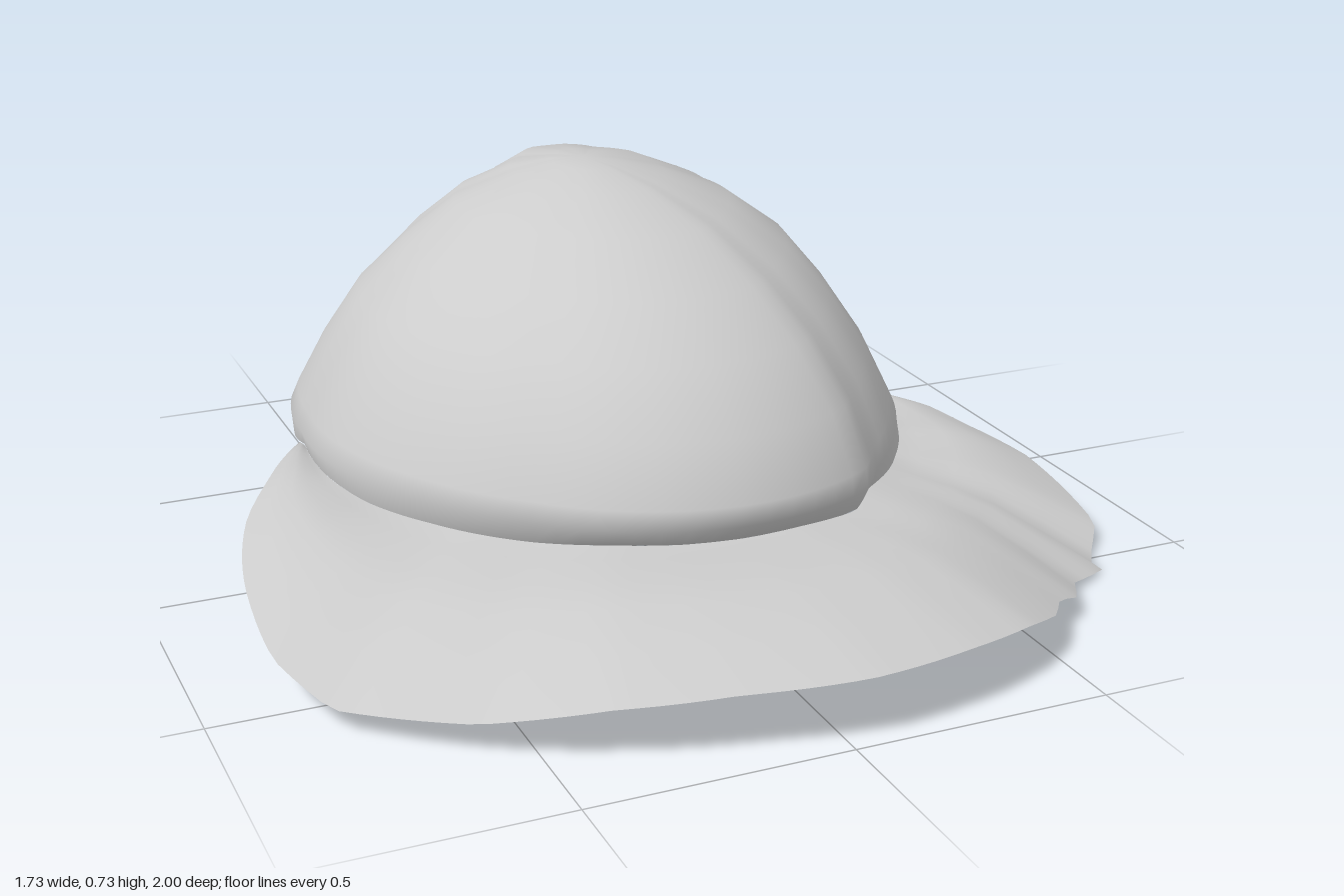
import * as THREE from 'three';
import { mergeVertices } from 'three/addons/utils/BufferGeometryUtils.js';

const CX = 0.01, CZ = -0.25, STEPS = 96;

// Turn a list of [x, y, z] outline points into a lookup of radius and height by angle
function polar(points) {
  const table = points
    .map(([x, y, z]) => ({ a: Math.atan2(x - CX, z - CZ), r: Math.hypot(x - CX, z - CZ), y }))
    .sort((p, q) => p.a - q.a);
  const first = table[0], last = table[table.length - 1];
  const ring = [{ ...last, a: last.a - 2 * Math.PI }, ...table, { ...first, a: first.a + 2 * Math.PI }];
  const at = (a) => {
    let i = 1;
    while (i < ring.length - 1 && ring[i].a < a) i++;
    const p = ring[i - 1], q = ring[i], t = (a - p.a) / (q.a - p.a);
    return { r: p.r + (q.r - p.r) * t, y: p.y + (q.y - p.y) * t };
  };
  return { at, start: first.a, end: last.a };
}

// Lower edge of the dome
const rim = polar([
  [-0.1, 0.17, -1], [0.03, 0.15, -1], [0.15, 0.16, -1], [0.27, 0.15, -0.93], [0.33, 0.16, -0.85],
  [0.43, 0.13, -0.8], [0.58, 0.12, -0.67], [0.62, 0.13, -0.5], [0.63, 0.14, -0.3],
  [0.65, 0.14, -0.1], [0.61, 0.15, 0.05], [0.53, 0.15, 0.2], [0.38, 0.17, 0.38],
  [0.3, 0.17, 0.48], [0.15, 0.18, 0.53], [0.03, 0.18, 0.54], [-0.1, 0.18, 0.52],
  [-0.22, 0.18, 0.47], [-0.35, 0.17, 0.37], [-0.5, 0.17, 0.2], [-0.58, 0.17, 0.05],
  [-0.62, 0.18, -0.1], [-0.62, 0.19, -0.25], [-0.58, 0.14, -0.47], [-0.52, 0.14, -0.57],
  [-0.46, 0.13, -0.7], [-0.27, 0.14, -0.83], [-0.2, 0.14, -0.93],
]);

// Outer edge of the brim
const edge = polar([
  [-0.62, 0.2, -0.24], [-0.72, 0.19, -0.1], [-0.79, 0.16, 0], [-0.86, 0.11, 0.3],
  [-0.86, 0.08, 0.45], [-0.8, 0.045, 0.6], [-0.6, 0.065, 0.78], [-0.4, 0.11, 0.9],
  [-0.2, 0.125, 0.96], [0.03, 0.13, 1], [0.25, 0.125, 0.96], [0.4, 0.11, 0.9],
  [0.5, 0.08, 0.83], [0.56, 0.065, 0.75], [0.62, 0.045, 0.72], [0.68, 0.02, 0.62],
  [0.79, 0.005, 0.56], [0.79, 0, 0.51], [0.86, 0.035, 0.42], [0.86, 0.085, 0.15],
  [0.8, 0.11, 0], [0.76, 0.125, -0.1], [0.68, 0.135, -0.2], [0.64, 0.14, -0.31],
]);

// Dome levels: height, then share of the rim radius at front, back, +x and -x
const LEVELS = [
  [null, 0.95, 1, 1, 0.98],
  [0.22, 0.995, 0.97, 0.96, 0.99],
  [0.26, 0.99, 0.92, 0.925, 0.965],
  [0.37, 0.92, 0.75, 0.84, 0.88],
  [0.48, 0.79, 0.65, 0.73, 0.76],
  [0.57, 0.63, 0.55, 0.62, 0.6],
  [0.65, 0.44, 0.42, 0.45, 0.43],
  [0.7, 0.24, 0.3, 0.25, 0.22],
  [0.722, 0.1, 0.13, 0.11, 0.1],
  [0.73, 0, 0, 0, 0],
];

function domePoint(level, a) {
  const [y, front, back, left, right] = LEVELS[level];
  const c = Math.cos(a), s = Math.sin(a), base = rim.at(a);
  const share = (c > 0 ? front : back) * c * c + (s > 0 ? left : right) * s * s;
  const r = base.r * share;
  return [CX + s * r, y ?? base.y, CZ + c * r];
}

// Brim sections: share of the way outward and rise above the straight slope
const SECTIONS = [[0, 0], [0.12, 0.006], [0.3, 0.02], [0.5, 0.026], [0.75, 0.016], [1, 0]];

function brimPoint(section, a) {
  const [t, rise] = SECTIONS[section];
  const [ix, iy, iz] = domePoint(0, a), out = edge.at(a);
  const ox = CX + Math.sin(a) * out.r, oz = CZ + Math.cos(a) * out.r;
  const width = Math.min(1, Math.hypot(ox - ix, oz - iz) / 0.3);
  return [ix + (ox - ix) * t, iy + (out.y - iy) * t + rise * width, iz + (oz - iz) * t];
}

// Smooth surface through rows of points that run around the centre
function skin(rows, start, end, point, outward) {
  const positions = [], index = [], n = STEPS + 1;
  for (let j = 0; j < rows; j++) {
    for (let i = 0; i < n; i++) positions.push(...point(j, start + ((end - start) * i) / STEPS));
  }
  for (let j = 0; j < rows - 1; j++) {
    for (let i = 0; i < STEPS; i++) {
      const a = j * n + i, b = a + 1, c = a + n, d = c + 1;
      if (outward) index.push(a, b, d, a, d, c);
      else index.push(a, d, b, a, c, d);
    }
  }
  const geometry = new THREE.BufferGeometry();
  geometry.setAttribute('position', new THREE.Float32BufferAttribute(positions, 3));
  geometry.setIndex(index);
  const merged = mergeVertices(geometry, 1e-5);
  merged.computeVertexNormals();
  return merged;
}

export function createModel() {
  const group = new THREE.Group();
  group.name = 'cap';
  const cloth = new THREE.MeshStandardMaterial({ color: 0xcccccc, side: THREE.DoubleSide });
  cloth.name = 'light grey cloth';

  // Hollow dome, open underneath
  const dome = new THREE.Mesh(skin(LEVELS.length, -Math.PI, Math.PI, domePoint, true), cloth);
  dome.name = 'dome';

  // Drooping brim around the front half
  const brim = new THREE.Mesh(skin(SECTIONS.length, edge.start, edge.end, brimPoint, false), cloth);
  brim.name = 'brim';

  group.add(dome, brim);
  return group;
}
